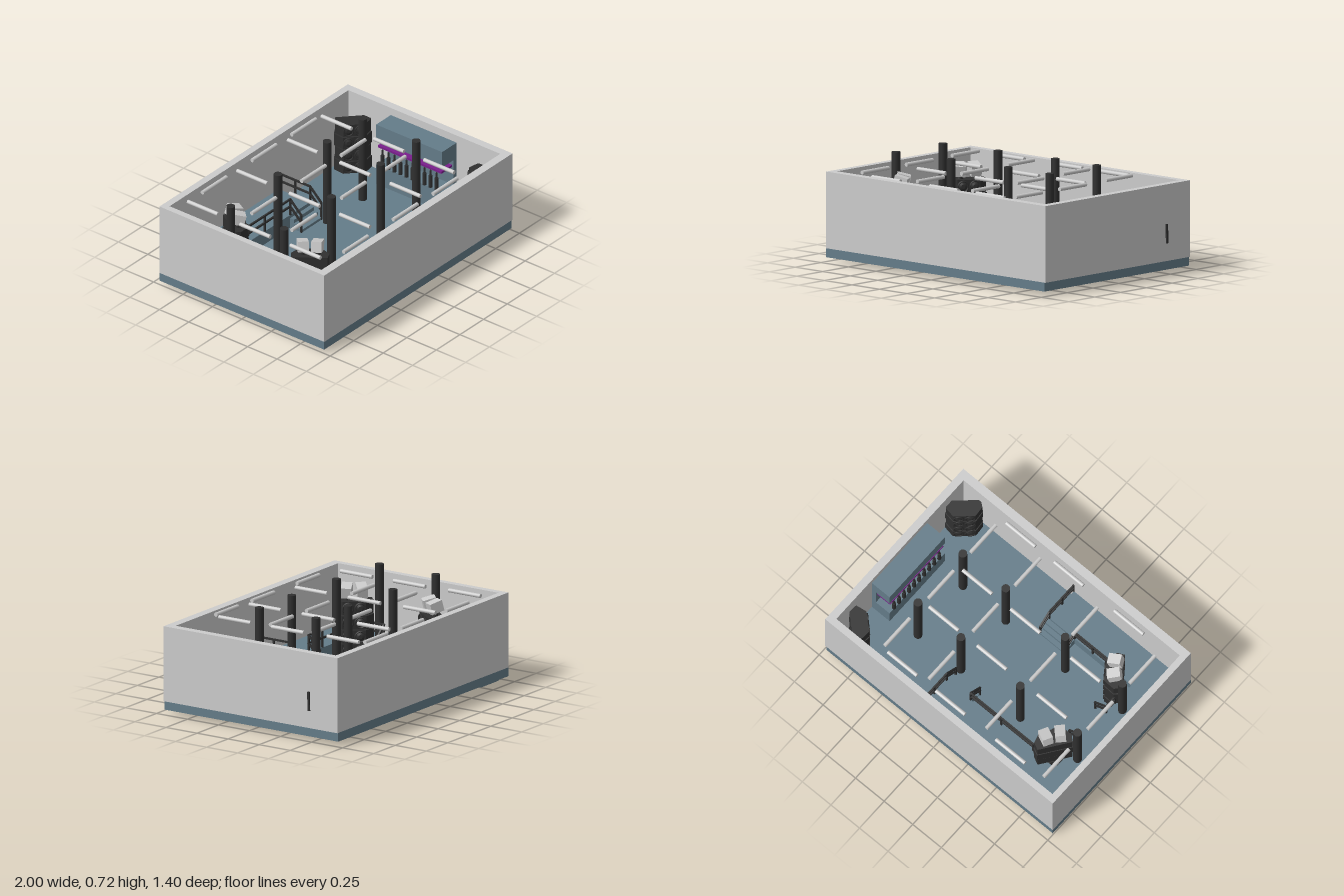
import * as THREE from 'three';

const mat = (color) => new THREE.MeshStandardMaterial({ color });
const GREY = mat(0xcccccc), BLUE = mat(0x647c89), BLACK = mat(0x303030), PURPLE = mat(0x7a1f8c);
const FLOOR = 0.09, DECK = 0.19, RAIL = 0.31;

export function createModel() {
  const root = new THREE.Group();

  const add = (name, geo, material, x, y, z, parent = root) => {
    const m = new THREE.Mesh(geo, material);
    m.name = name;
    m.position.set(x, y, z);
    parent.add(m);
    return m;
  };
  // Box given by its minimum and maximum corners
  const span = (name, material, x0, x1, y0, y1, z0, z1, parent) =>
    add(name, new THREE.BoxGeometry(x1 - x0, y1 - y0, z1 - z0), material,
      (x0 + x1) / 2, (y0 + y1) / 2, (z0 + z1) / 2, parent);

  // Floor slab and walls
  span('floorSlab', BLUE, -1, 0.98, 0.03, FLOOR, -0.7, 0.7);
  const ring = new THREE.Shape([[-1, -0.7], [0.99, -0.7], [0.99, 0.7], [-1, 0.7]].map(p => new THREE.Vector2(...p)));
  ring.holes.push(new THREE.Path([[-0.955, -0.64], [-0.955, 0.65], [0.935, 0.65], [0.935, -0.64]].map(p => new THREE.Vector2(...p))));
  const wallGeo = new THREE.ExtrudeGeometry(ring, { depth: 0.515, bevelEnabled: false });
  wallGeo.rotateX(-Math.PI / 2);
  add('walls', wallGeo, GREY, 0, FLOOR, 0);
  const handle = span('doorHandle', BLACK, 0.985, 1, 0.21, 0.34, -0.48, -0.465);
  handle.rotation.x = 0.03;

  // Raised decks round three sides
  span('sideDeck', BLUE, -0.955, -0.75, 0, DECK, -0.65, 0.4);
  span('backDeck', BLUE, -0.955, 0.2, FLOOR, DECK - 0.002, -0.65, -0.385);
  span('frontDeck', BLUE, -0.955, -0.03, FLOOR, DECK - 0.002, 0.39, 0.64);

  // Three steps down from each deck
  for (let i = 0; i < 3; i++) {
    const out = 0.033 * (i + 1), top = DECK - 0.027 * (i + 1);
    span('sideStep', BLUE, -0.75, -0.75 + out, 0, top, -0.13, 0.13);
    span('backStep', BLUE, -0.01, 0.2, FLOOR, top, -0.385, -0.385 + out);
    span('frontStep', BLUE, -0.25, -0.03, FLOOR, top, 0.39 - out, 0.39);
  }

  // Railings: bars between posts
  const railing = (points) => {
    const g = new THREE.Group();
    g.name = 'railing';
    root.add(g);
    points.forEach(([x, z, low], i) => {
      const base = low ? FLOOR : DECK, top = low ? RAIL - 0.09 : RAIL;
      add('railPost', new THREE.BoxGeometry(0.012, top - base, 0.012), BLACK, x, (top + base) / 2, z, g);
      if (!i) return;
      const [px, pz, pLow] = points[i - 1];
      const a = new THREE.Vector3(px, pLow ? RAIL - 0.09 : RAIL, pz), b = new THREE.Vector3(x, top, z);
      for (const drop of [0, 0.055]) {
        const bar = add('railBar', new THREE.BoxGeometry(0.012, 0.012, a.distanceTo(b) + 0.01), BLACK, 0, 0, 0, g);
        bar.position.addVectors(a, b).multiplyScalar(0.5).y -= drop;
        bar.lookAt(b.clone().setY(b.y - drop));
      }
    });
  };
  railing([[-0.56, -0.385], [-0.28, -0.385], [-0.01, -0.385], [-0.01, -0.29, 1]]);
  railing([[0.2, -0.64], [0.2, -0.51], [0.2, -0.385], [0.2, -0.29, 1]]);
  railing([[-0.57, 0.39], [-0.41, 0.39], [-0.25, 0.39], [-0.25, 0.3, 1]]);
  railing([[-0.03, 0.64], [-0.03, 0.52], [-0.03, 0.39], [-0.03, 0.3, 1]]);
  for (const s of [-1, 1]) railing([[-0.75, s * 0.22], [-0.75, s * 0.13], [-0.655, s * 0.13, 1]]);

  // Columns
  [[-0.82, 0.7], [-0.32, 0.71], [0.2, 0.717], [0.575, 0.717]].forEach(([x, top]) => {
    for (const z of [-0.24, 0.215])
      add('column', new THREE.CylinderGeometry(0.029, 0.029, top - FLOOR, 20), BLACK, x, (top + FLOOR) / 2, z);
  });

  // Hanging light tubes in a grid
  const tube = (x, z, alongX, y) => {
    const m = add('lightTube', new THREE.CylinderGeometry(0.014, 0.014, 0.255, 12), GREY, x, y, z);
    if (alongX) m.rotation.z = Math.PI / 2;
    else m.rotation.x = Math.PI / 2;
  };
  for (const x of [-0.545, -0.02, 0.4])
    for (const z of [-0.6, -0.18, 0.16, 0.6]) tube(x, z, true, 0.594);
  for (const [x, shift] of [[-0.83, -0.015], [-0.32, -0.005], [0.195, 0.01], [0.57, -0.005]])
    for (const z of [-0.452, -0.007, 0.42]) tube(x, z + shift, false, z < -0.3 ? 0.602 : 0.597);

  // Bar against the end wall: cabinet, shelf light, counter and bottles
  span('barBack', BLUE, 0.9, 0.935, FLOOR, 0.55, -0.29, 0.27);
  span('barCanopy', BLUE, 0.78, 0.935, 0.43, 0.55, -0.29, 0.27);
  span('barLight', PURPLE, 0.785, 0.9, 0.375, 0.39, -0.28, 0.26);
  span('barCounter', BLUE, 0.78, 0.9, FLOOR, 0.24, -0.29, 0.27);
  for (let i = 0; i < 10; i++) {
    const z = -0.24 + i * 0.051;
    add('bottle', new THREE.CylinderGeometry(0.012, 0.014, 0.09, 10), BLACK, 0.785, 0.285, z);
    add('bottleNeck', new THREE.CylinderGeometry(0.005, 0.008, 0.04, 8), BLACK, 0.785, 0.35, z);
  }

  // Speaker stack: chamfered cabinets with round drivers on local +z
  const cabinet = new THREE.Shape([[-0.13, -0.06], [0.13, -0.06], [0.14, 0], [0.085, 0.07], [-0.085, 0.07], [-0.14, 0]]
    .map(p => new THREE.Vector2(p[0], -p[1])).reverse());
  const stack = (x, z, yaw, base, top, scale) => {
    const g = new THREE.Group();
    g.name = 'speakerStack';
    g.position.set(x, base, z);
    g.rotation.y = yaw;
    g.scale.set(scale, 1, scale);
    root.add(g);
    const n = 4, h = (top - base) / n;
    for (let i = 0; i < n; i++) {
      const geo = new THREE.ExtrudeGeometry(cabinet, { depth: h * 0.92, bevelEnabled: false });
      geo.rotateX(-Math.PI / 2);
      const c = add('speakerCabinet', geo, BLACK, 0, i * h, 0, g);
      c.scale.setScalar(1 - 0.04 * (i % 2)).y = 1;
      for (const dx of [-0.043, 0.043]) {
        const r = Math.min(0.036, h * 0.4);
        add('speakerRing', new THREE.TorusGeometry(r, 0.006, 6, 20), BLACK, dx, (i + 0.46) * h, 0.072, g);
        const cone = add('speakerCone', new THREE.CylinderGeometry(r * 0.4, r, 0.01, 16), BLACK, dx, (i + 0.46) * h, 0.072, g);
        cone.rotation.x = Math.PI / 2;
      }
    }
    return g;
  };
  for (const s of [-1, 1]) {
    // Stacks in the far corners
    stack(0.84, s * 0.535, s > 0 ? -2.4 : -0.75, FLOOR, 0.47, 0.9);
    // Stacks on the deck corners, topped by tilted lamp heads
    const g = stack(-0.67, s * 0.315, s > 0 ? 2.2 : 0.95, FLOOR, 0.48, 0.95);
    for (const dx of [-0.052, 0.052]) {
      add('lampYoke', new THREE.CylinderGeometry(0.02, 0.026, 0.04, 12), BLACK, dx, 0.39, 0, g);
      const head = add('lampHead', new THREE.BoxGeometry(0.075, 0.075, 0.095), GREY, dx, 0.445, 0, g);
      head.rotation.set(0.25, dx * 3, 0);
    }
  }
  return root;
}
